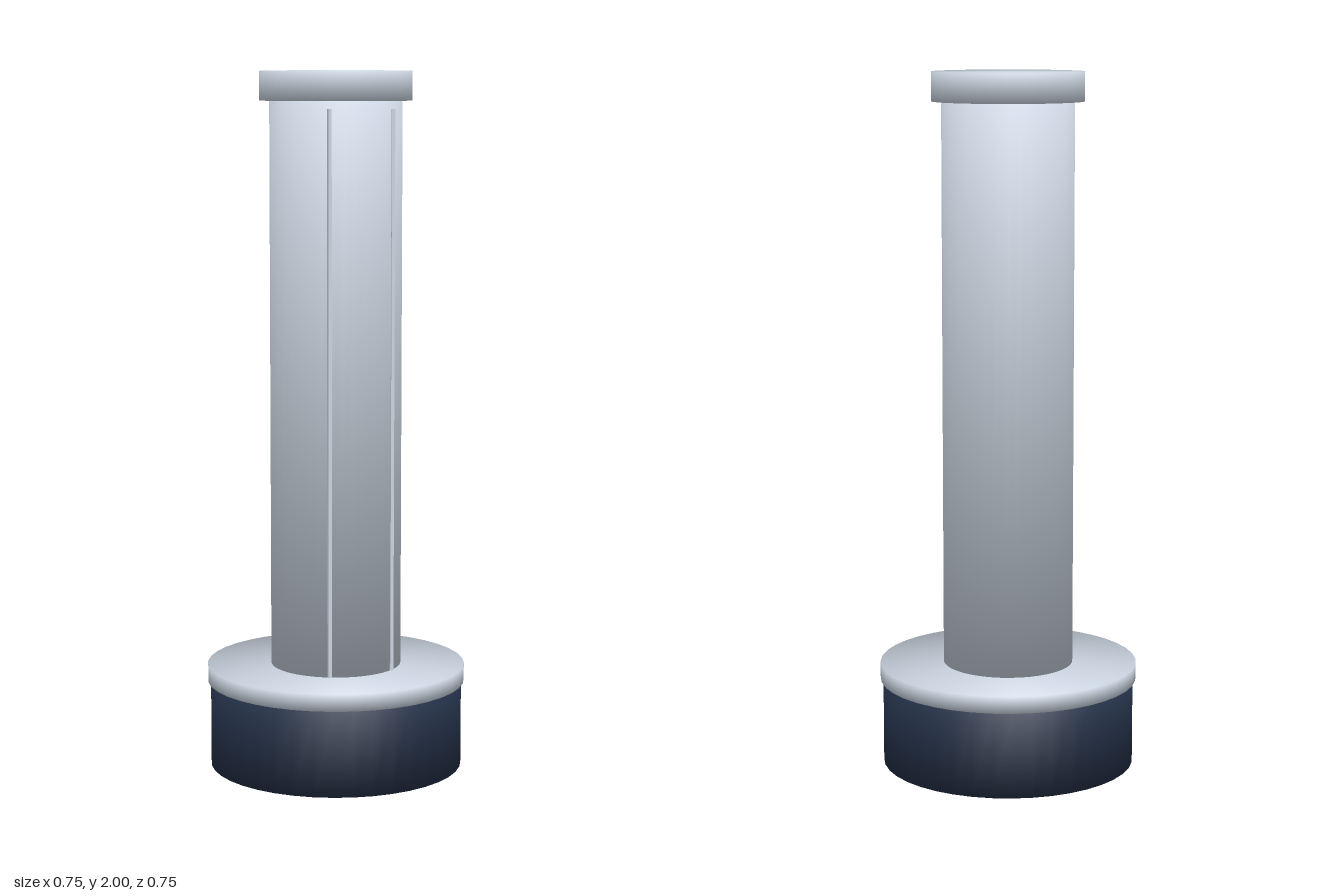
import * as THREE from 'three';

const paleGrey = new THREE.MeshStandardMaterial({ color: 0xcbd5e1 });
paleGrey.name = 'paleGrey';
const navy = new THREE.MeshStandardMaterial({ color: 0x233047 });
navy.name = 'navy';

// Upright disc between two heights, shaded softly over its rims
function disc(name, radius, y0, y1, material) {
  const geometry = new THREE.CylinderGeometry(radius, radius, y1 - y0, 40);
  const { position, normal } = geometry.attributes;
  const n = new THREE.Vector3();
  for (let i = 0; i < position.count; i++) {
    n.set(position.getX(i) / radius, Math.sign(position.getY(i)), position.getZ(i) / radius).normalize();
    normal.setXYZ(i, n.x, n.y, n.z);
  }
  const mesh = new THREE.Mesh(geometry, material);
  mesh.name = name;
  mesh.position.y = (y0 + y1) / 2;
  return mesh;
}

export function createModel() {
  const model = new THREE.Group();
  model.name = 'post';

  model.add(
    disc('base', 0.365, 0, 0.25, navy),
    disc('flange', 0.373, 0.248, 0.297, paleGrey),
    disc('column', 0.188, 0.29, 1.92, paleGrey),
    disc('cap', 0.216, 1.917, 2, paleGrey),
  );

  // Two slim ribs along the front of the column
  for (const side of [-1, 1]) {
    const rib = new THREE.Mesh(new THREE.BoxGeometry(0.01, 1.605, 0.012), paleGrey);
    rib.name = side > 0 ? 'leftRib' : 'rightRib';
    rib.position.set(side * 0.098, 1.0925, 0.16);
    model.add(rib);
  }
  return model;
}
